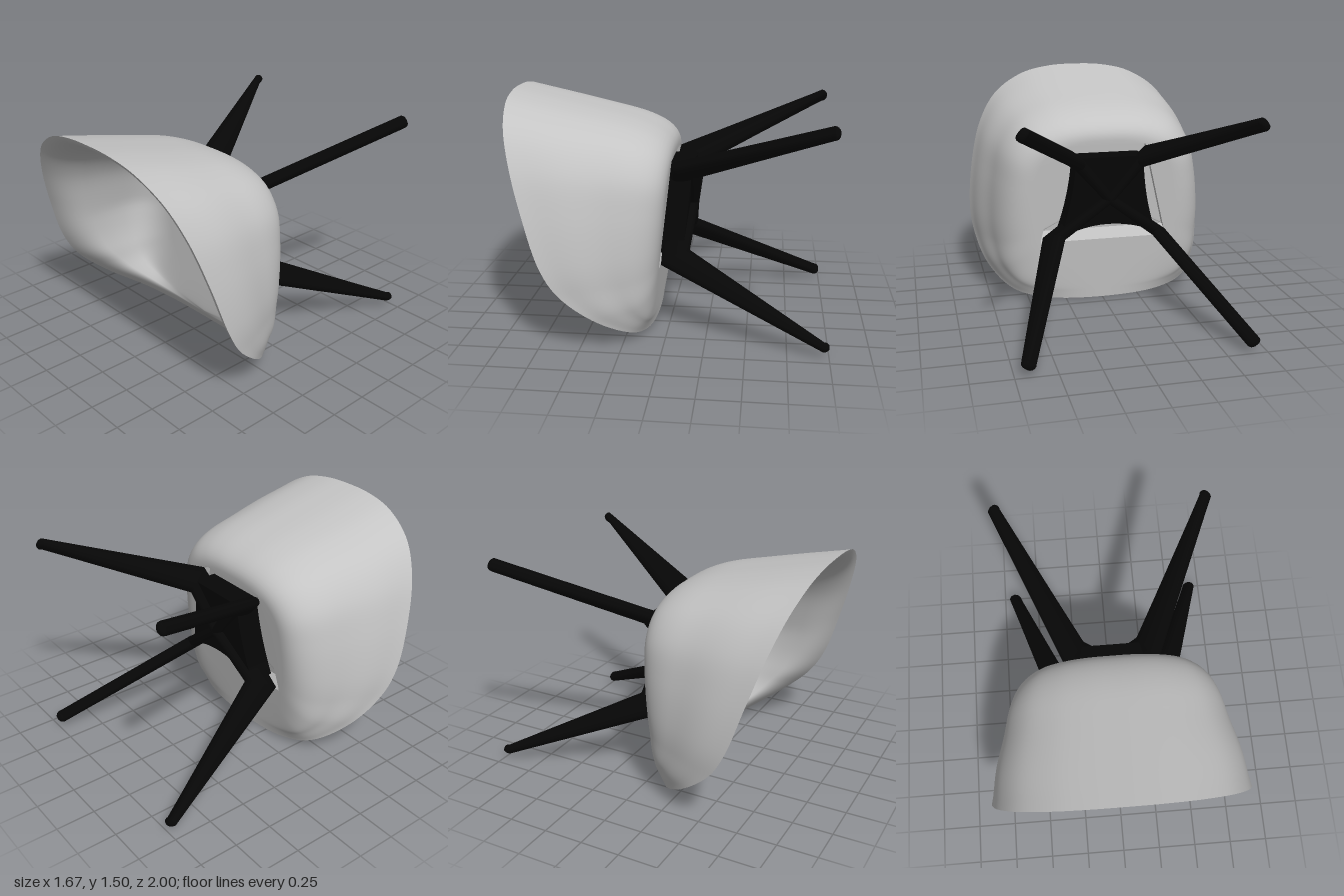
import * as THREE from 'three';

const V = (x, y, z) => new THREE.Vector3(x, y, z);
const N = 144;                                  // samples around the shell
const floorZ = y => 0.09 - 0.095 * y;           // sloping underside of the seat
const CY = 0.72;                                // seat centre height
const PAD = 0.08;                               // seat padding thickness

// Smooth surface through closed rings of equal length
function skin(rings, flip = false) {
  const n = rings[0].length, idx = [];
  for (let i = 0; i < rings.length - 1; i++) {
    for (let j = 0; j < n; j++) {
      const k = (j + 1) % n;
      const a = i * n + j, b = a + n, c = (i + 1) * n + k, d = i * n + k;
      if (flip) idx.push(a, c, b, a, d, c);
      else idx.push(a, b, c, a, c, d);
    }
  }
  const g = new THREE.BufferGeometry().setFromPoints(rings.flat());
  g.setIndex(idx);
  g.computeVertexNormals();
  return g;
}

// Closed symmetric loop from points running bottom centre to top centre
function loop(half) {
  const right = half.map(p => V(...p));
  const left = right.slice(1, -1).reverse().map(p => V(-p.x, p.y, p.z));
  const curve = new THREE.CatmullRomCurve3([...right, ...left], true, 'centripetal');
  return Array.from({ length: N }, (_, i) => curve.getPoint(i / N));
}

const rim = loop([
  [0, 0, 0.09], [0.4, 0.02, 0.12], [0.6, 0.07, 0.2], [0.75, 0.2, 0.4],
  [0.82, 0.38, 0.6], [0.835, 0.55, 0.7], [0.8, 0.85, 0.8], [0.725, 1.12, 0.882],
  [0.6, 1.315, 0.942], [0.4, 1.443, 0.982], [0.2, 1.49, 0.997], [0, 1.5, 1]]);

// Virtual corner where the floor and the walls would meet
const corner = loop([
  [0, 0.1], [0.36, 0.12], [0.52, 0.17], [0.61, 0.27], [0.645, 0.42], [0.66, 0.58],
  [0.65, 0.82], [0.61, 1.02], [0.5, 1.16], [0.35, 1.23], [0.18, 1.26], [0, 1.265],
].map(([x, y]) => [x, y, floorZ(y)]));

// Trapezoid of the underside recess, hit by a ray from the seat centre
const TRAP = [[-0.43, 0.43], [0.43, 0.43], [0.27, 1.08], [-0.27, 1.08]];
function recessPoint(dir) {
  let best = Infinity;
  TRAP.forEach(([ax, ay], i) => {
    const [bx, by] = TRAP[(i + 1) % 4];
    const nx = by - ay, ny = ax - bx;
    const den = nx * dir.x + ny * dir.y;
    const t = (nx * ax + ny * (ay - CY)) / den;
    if (t > 0 && t < best) best = t;
  });
  const y = CY + dir.y * best;
  return V(dir.x * best, y, floorZ(y));
}

// Point on a quadratic curve
const bend = (a, b, c, t) => a.clone().multiplyScalar((1 - t) ** 2)
  .addScaledVector(b, 2 * t * (1 - t)).addScaledVector(c, t * t);

// Rings from the floor, round the corner, to 36% of the wall
function filletRings(corners, centre, tops, start) {
  return Array.from({ length: 13 }, (_, i) => corners.map((e, j) =>
    bend(centre.clone().lerp(e, start), e, e.clone().lerp(tops[j], 0.36), i / 12)));
}

// One tapered bar; each station is [outer point, inner point, half width]
function bar(stations, perp, capped) {
  const M = 20;
  const rings = stations.map(([o, i, w]) => {
    const mid = o.clone().add(i).multiplyScalar(0.5), u = o.clone().sub(mid);
    return Array.from({ length: M }, (_, k) => {
      const a = k / M * Math.PI * 2, c = Math.cos(a), s = Math.sin(a);
      const soft = v => Math.sign(v) * Math.abs(v) ** 0.75;
      return mid.clone().addScaledVector(u, soft(c)).addScaledVector(perp, w * soft(s));
    });
  });
  if (capped) {
    const [o, i] = stations.at(-1);
    rings.push(rings[0].map(() => o.clone().add(i).multiplyScalar(0.5)));
  }
  return skin(rings);
}

export function createModel() {
  const model = new THREE.Group();
  model.name = 'chair';
  const shellGrey = new THREE.MeshStandardMaterial({ color: 0xc4c4c4 });
  shellGrey.name = 'shell grey';
  const black = new THREE.MeshStandardMaterial({ color: 0x060606 });
  black.name = 'base black';
  const add = (name, geo, mat, parent = model) => {
    const mesh = new THREE.Mesh(geo, mat);
    mesh.name = name;
    parent.add(mesh);
    return mesh;
  };

  const shell = new THREE.Group();
  shell.name = 'seatShell';
  model.add(shell);

  // Outer skin, with the side walls bowed slightly outwards
  const centre = V(0, CY, floorZ(CY));
  const edge = corner.map(e => recessPoint(V(e.x, e.y - CY, 0)));
  const outer = [edge, ...filletRings(corner, centre, rim, 0.72)];
  for (let i = 1; i <= 10; i++) {
    const s = i / 10;
    outer.push(corner.map((e, j) => {
      const p = e.clone().lerp(rim[j], 0.36 + 0.64 * s);
      p.x *= 1 + 0.025 * Math.sin(Math.PI * s) ** 2 * Math.min(1, rim[j].z);
      return p;
    }));
  }
  add('outerShell', skin(outer, true), shellGrey, shell);

  // Padded inner skin, rising to a rounded lip that rolls out to the rim
  const centreIn = V(0, CY, floorZ(CY) + PAD);
  const cornerIn = corner.map(e => e.clone()
    .lerp(centre, 0.02 + 0.35 * Math.abs(e.x * (e.y - CY))).add(V(0, 0, PAD)));
  const lip = rim.map(r => V(r.x * 0.82, CY + (r.y - CY) * 0.9,
    r.z + 0.075 - 0.115 * Math.min(1, r.z / 0.5)));
  const inner = [cornerIn.map(() => centreIn.clone()),
    ...filletRings(cornerIn, centreIn, lip, 0.64)];
  for (let i = 1; i <= 3; i++) {
    inner.push(cornerIn.map((e, j) => e.clone().lerp(lip[j], 0.36 + 0.13 * i)));
  }
  for (let i = 1; i <= 10; i++) {
    inner.push(cornerIn.map((e, j) =>
      bend(e.clone().lerp(lip[j], 0.75), lip[j], rim[j], i / 10)));
  }
  add('innerShell', skin(inner), shellGrey, shell);

  // Recess under the seat, with a ramp along its front edge
  const raised = edge.map(p => V(p.x, Math.max(p.y, 0.5), p.z + 0.04));
  const top = raised.map(() => V(0, CY, floorZ(CY) + 0.04));
  add('recessFloor', skin([top, raised], true), shellGrey, shell);
  add('recessWall', skin([raised, edge], true), shellGrey, shell);

  // Legs: each has an arm from the hub to the knee, then a tapered leg
  const legs = [
    { name: 'front', ko: [0.4, 0.445, 0.04], ki: [0.31, 0.52, -0.132],
      fo: [0.688, 0.042], fi: [0.645, 0.085] },
    { name: 'rear', ko: [0.29, 1.055, -0.015], ki: [0.18, 0.98, -0.19],
      fo: [0.69, 1.375], fi: [0.645, 1.34] },
  ];
  for (const s of [1, -1]) {
    for (const { name, ko, ki, fo, fi } of legs) {
      const P = ([x, y, z]) => V(s * x, y, z);
      const kneeO = P(ko), kneeI = P(ki);
      const footO = P([...fo, -0.965]), footI = P([...fi, -0.968]);
      const d = footO.clone().sub(kneeO).setZ(0).normalize();
      const perp = V(-d.y, d.x, 0);
      const foot = [0, 0.35, 0.7, 1].map(t => {     // rounded foot end
        const q = Math.sqrt(1 - 0.8 * t * t), k = (1 - q) / 2, dz = V(0, 0, -0.033 * t);
        return [footO.clone().lerp(footI, k).add(dz), footI.clone().lerp(footO, k).add(dz), 0.042 * q];
      });
      const leg = new THREE.Group();
      leg.name = name + (s > 0 ? 'LeftLeg' : 'RightLeg');
      model.add(leg);
      add('leg', bar([[kneeO, kneeI, 0.043], ...foot], perp, true), black, leg);
      add('arm', bar([[V(0, CY + 0.03, 0.05), V(0, CY + 0.03, -0.165), 0.035],
        [kneeO, kneeI, 0.043]], perp, false), black, leg);
    }
  }

  // Hub plate with curved edges joining the four arms
  const plate = new THREE.Shape();
  plate.moveTo(-0.32, 0.5);
  plate.quadraticCurveTo(0, 0.65, 0.32, 0.5);
  plate.quadraticCurveTo(0.23, 0.76, 0.22, 1.03);
  plate.lineTo(-0.22, 1.03);
  plate.quadraticCurveTo(-0.23, 0.76, -0.32, 0.5);
  const plateGeo = new THREE.ExtrudeGeometry(plate,
    { depth: 0.16, bevelEnabled: false, curveSegments: 12 });
  const pos = plateGeo.attributes.position;
  for (let i = 0; i < pos.count; i++) {
    pos.setZ(i, pos.getZ(i) - 0.13 + floorZ(pos.getY(i)));   // follow the seat slope
  }
  plateGeo.computeVertexNormals();
  add('hubPlate', plateGeo, black);

  return model;
}
